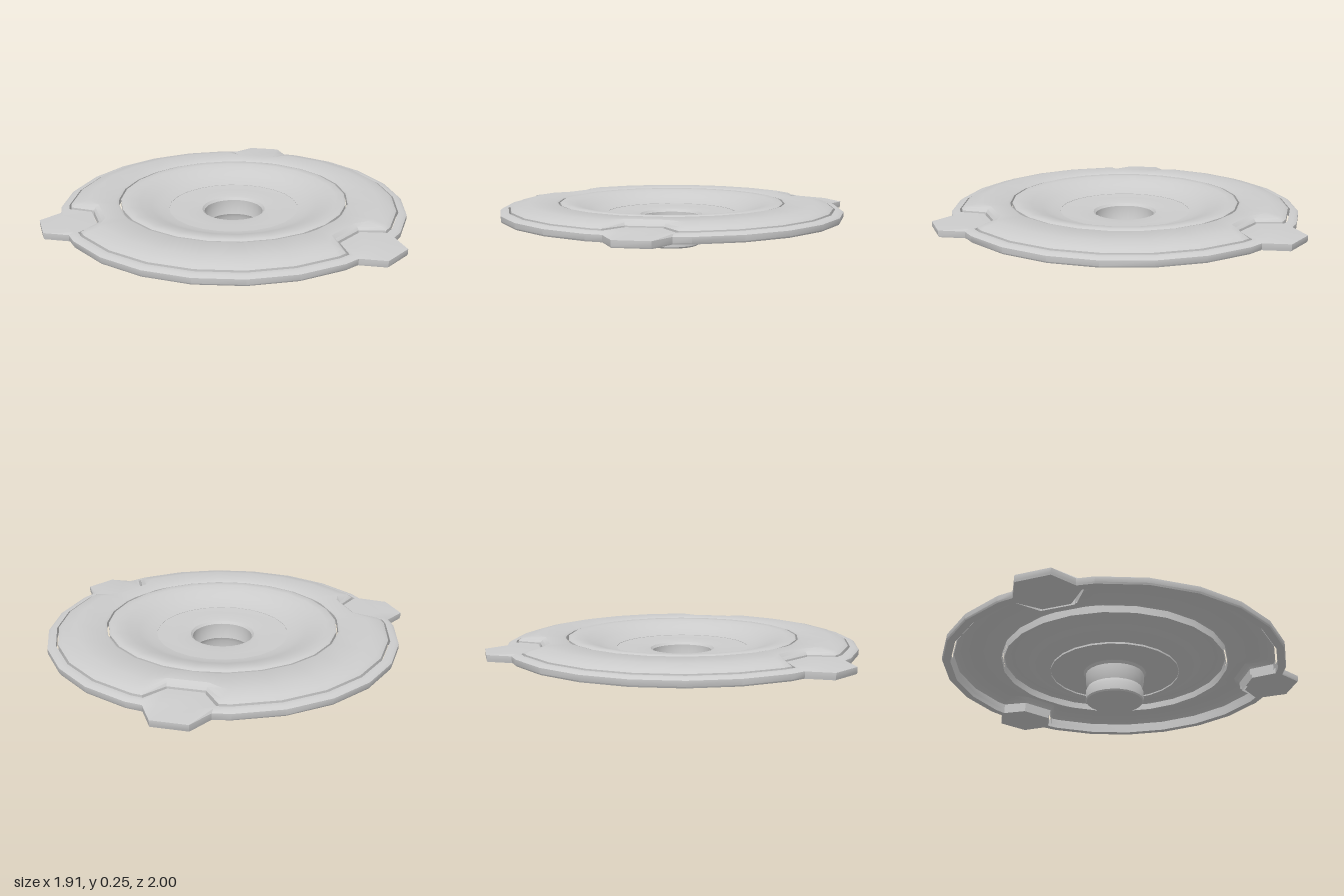
import * as THREE from 'three';
import { toCreasedNormals } from 'three/addons/utils/BufferGeometryUtils.js';

const SEGMENTS = 24;
const CREASE = 0.6;
const material = new THREE.MeshStandardMaterial({ color: 0xcccccc, side: THREE.DoubleSide });

// Closed outline with three-fold symmetry: two corner points shape each
// tab or notch ([angle in degrees, radius]), the rest lies on a circle.
function outline(tip, root, radius, y) {
  const sector = [tip, root];
  for (let a = 15; a <= 105; a += 15) sector.push([a, radius]);
  sector.push([120 - root[0], root[1]], [120 - tip[0], tip[1]]);
  const points = [];
  for (let k = 0; k < 3; k++) {
    for (const [deg, r] of sector) {
      const a = THREE.MathUtils.degToRad(deg + 120 * k);
      points.push(new THREE.Vector3(r * Math.sin(a), y, r * Math.cos(a)));
    }
  }
  return points;
}

// Skins a list of matching outlines into one surface
function skin(loops) {
  const n = loops[0].length;
  const index = [];
  for (let i = 0; i < loops.length - 1; i++) {
    for (let j = 0; j < n; j++) {
      const a = i * n + j, b = i * n + (j + 1) % n;
      index.push(a, b, b + n, a, b + n, a + n);
    }
  }
  const geometry = new THREE.BufferGeometry().setFromPoints(loops.flat());
  geometry.setIndex(index);
  return toCreasedNormals(geometry, CREASE);
}

function lathe(profile) {
  const points = profile.map(([r, y]) => new THREE.Vector2(r, y));
  return toCreasedNormals(new THREE.LatheGeometry(points, SEGMENTS), CREASE);
}

function addPart(group, name, geometry) {
  const mesh = new THREE.Mesh(geometry, material);
  mesh.name = name;
  group.add(mesh);
}

export function createModel() {
  const group = new THREE.Group();
  group.name = 'lid';

  // Outer rim with three tabs reaching outward and inward
  addPart(group, 'rimWithTabs', skin([
    outline([5.4, 0.79], [10.9, 0.901], 0.905, 0.17),
    outline([4.9, 1.05], [9.8, 0.94], 0.945, 0.17),
    outline([4.9, 1.054], [9.8, 0.944], 0.95, 0.178),
    outline([4.9, 1.054], [9.8, 0.944], 0.95, 0.205),
    outline([5.5, 0.934], [10.1, 0.925], 0.932, 0.217),
    outline([6.6, 0.78], [10.9, 0.901], 0.905, 0.217),
    outline([6.6, 0.78], [10.9, 0.901], 0.905, 0.17),
  ]));

  // Raised ring panel, notched around the tabs
  addPart(group, 'ringPanel', skin([
    outline([7.0, 0.769], [11.6, 0.889], 0.894, 0.185),
    outline([7.0, 0.769], [11.6, 0.889], 0.894, 0.222),
    outline([7.4, 0.758], [12.2, 0.865], 0.872, 0.236),
    outline([7.8, 0.74], [12.6, 0.79], 0.8, 0.25),
    outline([7.5, 0.645], [12, 0.645], 0.645, 0.25),
    outline([7.5, 0.632], [12, 0.632], 0.632, 0.243),
    outline([7.5, 0.632], [12, 0.632], 0.632, 0.21),
  ]));

  // Sloping dish inside the ring
  addPart(group, 'dish', lathe([
    [0.622, 0.21], [0.622, 0.243], [0.61, 0.25], [0.57, 0.248], [0.52, 0.236],
    [0.46, 0.212], [0.41, 0.194], [0.36, 0.184], [0.36, 0.174],
  ]));

  // Flange that flows into a waisted cup
  addPart(group, 'hubCup', lathe([
    [0.36, 0.174], [0.36, 0.182], [0.28, 0.178], [0.2, 0.178], [0.175, 0.173],
    [0.163, 0.16], [0.163, 0.115], [0.152, 0.077], [0.161, 0.055], [0.161, 0.008],
    [0.155, 0], [0.1, 0.004], [0.05, 0.007], [0, 0.008],
  ].reverse()));

  // The front tab reaches further than the back edge
  group.children.forEach((part) => { part.position.z = -0.05; });
  return group;
}
